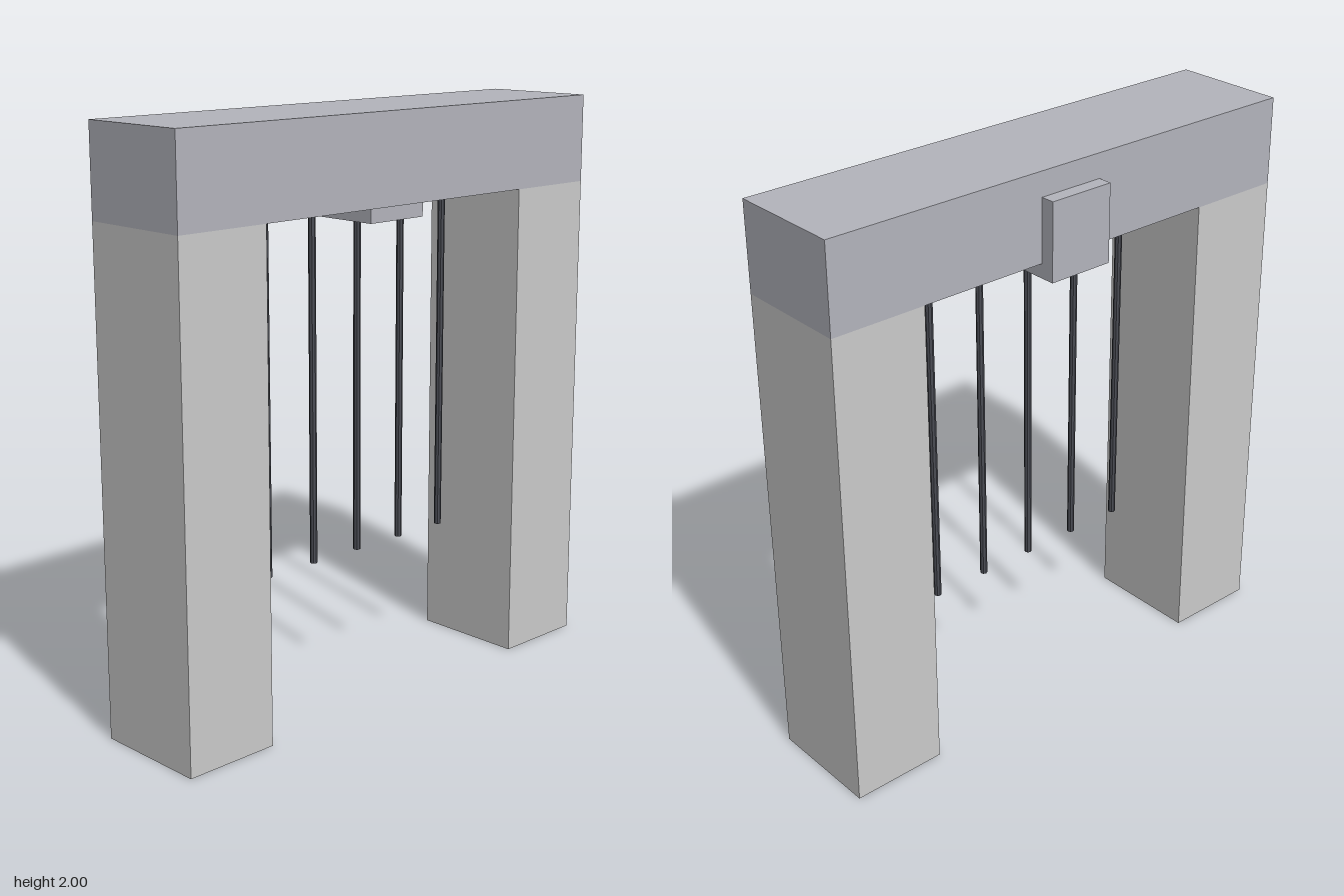
import * as THREE from 'three';

export function createModel() {
  const group = new THREE.Group();
  const stone = new THREE.MeshStandardMaterial({ color: 0xcccccc, flatShading: true });
  const beam = new THREE.MeshStandardMaterial({ color: 0xb4b5bd, flatShading: true });
  const iron = new THREE.MeshStandardMaterial({ color: 0x4a4c54, flatShading: true });

  const add = (name, geometry, material, x, y, z) => {
    const mesh = new THREE.Mesh(geometry, material);
    mesh.name = name;
    mesh.position.set(x, y, z);
    group.add(mesh);
  };

  const midZ = 0.025, depth = 0.41, underside = 1.695;

  // Pillars
  for (const [name, side] of [['leftPillar', 1], ['rightPillar', -1]]) {
    add(name, new THREE.BoxGeometry(0.34, underside, depth), stone, side * 0.752, underside / 2, midZ);
  }

  // Lintel across the top
  add('lintel', new THREE.BoxGeometry(1.844, 2 - underside, depth), beam, 0, (2 + underside) / 2, midZ);

  // L-shaped bracket: upright on the back, foot under the lintel (profile in z, y)
  const profile = new THREE.Shape([
    [-0.23, 1.645], [0.21, 1.645], [0.21, underside],
    [-0.18, underside], [-0.18, 1.915], [-0.23, 1.915],
  ].map(([z, y]) => new THREE.Vector2(-z, y)));
  const bracket = new THREE.ExtrudeGeometry(profile, { depth: 0.24, bevelEnabled: false });
  bracket.translate(0, 0, -0.12).rotateY(Math.PI / 2);
  add('bracket', bracket, beam, 0, 0, 0);

  // Hanging bars
  const bottom = 0.48;
  for (let i = -2; i <= 2; i++) {
    add('hangingBar', new THREE.CylinderGeometry(0.0125, 0.0125, underside - bottom, 8), iron,
      i * 0.205, (underside + bottom) / 2, midZ);
  }

  return group;
}
